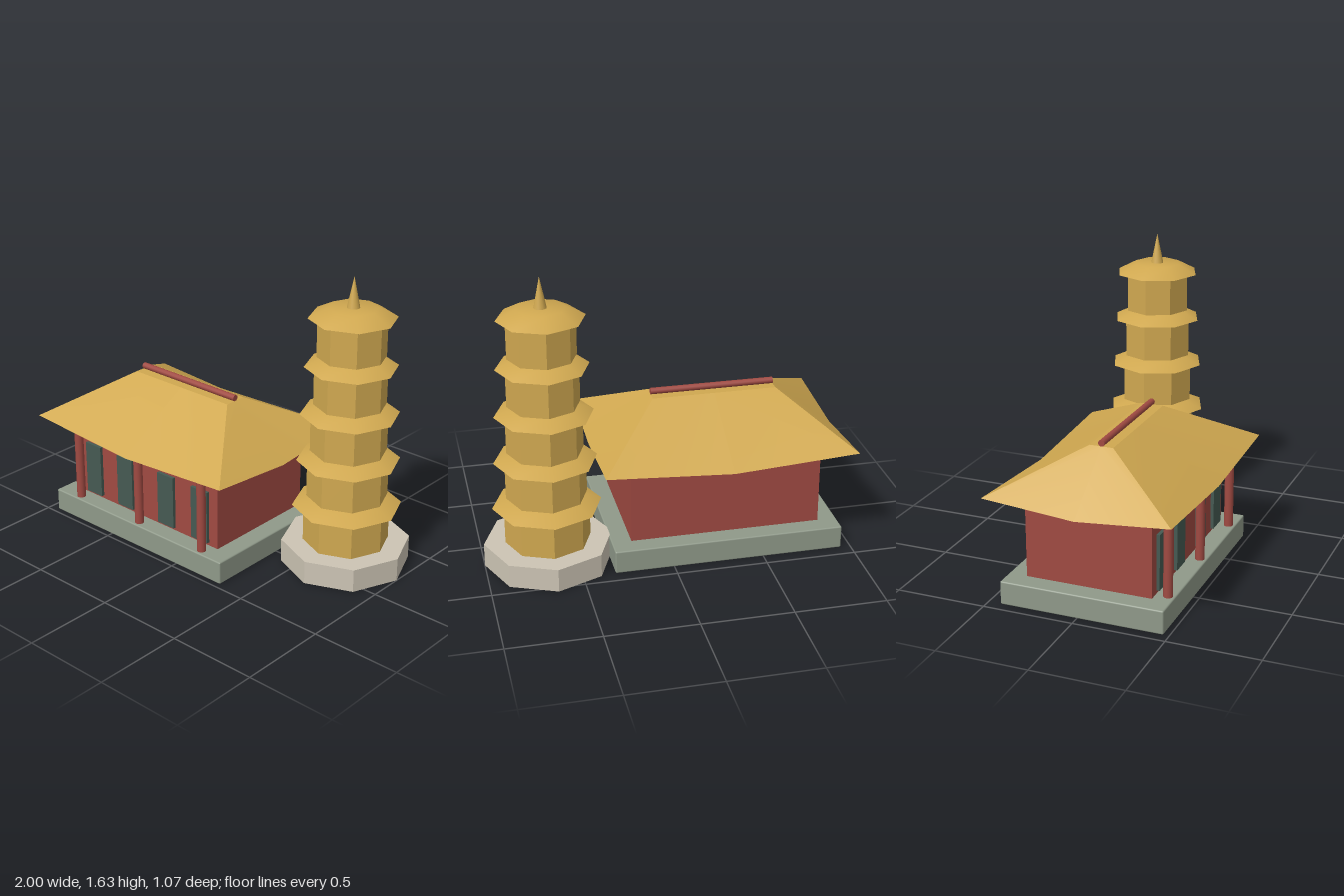
import * as THREE from 'three';
import { toCreasedNormals } from 'three/addons/utils/BufferGeometryUtils.js';
import { RoundedBoxGeometry } from 'three/addons/geometries/RoundedBoxGeometry.js';

const mat = (name, color, side = THREE.FrontSide) => {
  const m = new THREE.MeshStandardMaterial({ color, side });
  m.name = name;
  return m;
};

// Eight-sided frustum with corners on the x and z axes
const octagon = (rTop, rBottom, height, crease = 0.7) =>
  toCreasedNormals(new THREE.CylinderGeometry(rTop, rBottom, height, 8), crease);

// Ring of four corners and four edge midpoints, counter-clockwise seen from above
const ring = (hx, hz, yCorner, yMid) =>
  [[-1, 1], [0, 1], [1, 1], [1, 0], [1, -1], [0, -1], [-1, -1], [-1, 0]]
    .map(([x, z]) => [x * hx, x && z ? yCorner : yMid, z * hz]);

// Open hipped roof: lifted eave corners, sloping sides and a narrow flat top
function hippedRoof() {
  const eave = ring(0.69, 0.51, 0.604, 0.56);
  const top = ring(0.345, 0.065, 0.832, 0.832);
  const points = [...eave, ...top, [0, 0.832, 0]];
  const index = [];
  for (let i = 0; i < 8; i++) {
    const j = (i + 1) % 8;
    // mirror the diagonal on alternate panels
    if (i % 2) index.push(i, j, i + 8, j, j + 8, i + 8);
    else index.push(i, j, j + 8, i, j + 8, i + 8);
    index.push(i + 8, j + 8, 16);
  }
  const g = new THREE.BufferGeometry();
  g.setAttribute('position', new THREE.Float32BufferAttribute(points.flat(), 3));
  g.setIndex(index);
  return toCreasedNormals(g, 0.4);
}

export function createModel() {
  const gold = mat('gold tile', 0xd0a850);
  const goldSheet = mat('gold roof sheet', 0xd0a850, THREE.DoubleSide);
  const red = mat('red lacquer', 0xa04a42);
  const greyStone = mat('grey green stone', 0x8f9989);
  const paleStone = mat('pale stone', 0xccc4b4);
  const darkGreen = mat('dark green panel', 0x455a52);

  const add = (parent, name, geometry, material, x, y, z) => {
    const mesh = new THREE.Mesh(geometry, material);
    mesh.name = name;
    mesh.position.set(x, y, z);
    parent.add(mesh);
    return mesh;
  };

  const model = new THREE.Group();
  model.name = 'templeCompound';

  // Hall
  const hall = new THREE.Group();
  hall.name = 'hall';
  hall.position.set(-0.31, 0, 0.02);
  model.add(hall);
  add(hall, 'platform', new RoundedBoxGeometry(1.27, 0.13, 0.9, 2, 0.008), greyStone, 0, 0.065, 0);
  add(hall, 'walls', new THREE.BoxGeometry(1.054, 0.425, 0.694), red, 0, 0.3425, 0);
  for (const x of [-0.408, -0.158, 0.158, 0.408])
    add(hall, 'doorPanel', new THREE.BoxGeometry(0.117, 0.306, 0.03), darkGreen, x, 0.302, 0.35);
  for (const x of [-0.47, 0, 0.47])
    add(hall, 'frontPillar', new THREE.CylinderGeometry(0.025, 0.025, 0.43, 16), red, x, 0.343, 0.412);
  add(hall, 'hippedRoof', hippedRoof(), goldSheet, 0, 0, 0);
  add(hall, 'ridgeBeam', new THREE.CylinderGeometry(0.018, 0.018, 0.69, 12), red, 0, 0.848, 0)
    .rotation.z = Math.PI / 2;

  // Pagoda tower
  const tower = new THREE.Group();
  tower.name = 'pagoda';
  tower.position.set(0.65, 0, -0.19);
  model.add(tower);
  add(tower, 'towerBase', octagon(0.35, 0.35, 0.13), paleStone, 0, 0.065, 0);
  const bodyR = [0.233, 0.219, 0.206, 0.194, 0.183];
  const eaveR = [0.296, 0.278, 0.265, 0.248, 0.234];
  const step = 0.267, roofHeight = 0.055;
  bodyR.forEach((r, i) => {
    const bottom = 0.13 + i * step;
    const height = step - roofHeight;
    const eaveY = bottom + height;
    add(tower, 'storey', octagon(r, r, height), gold, 0, bottom + height / 2, 0);
    add(tower, 'storeyRoof', octagon(eaveR[i] * 0.56, eaveR[i], roofHeight), gold, 0, eaveY + roofHeight / 2, 0);
  });
  add(tower, 'spire', new THREE.ConeGeometry(0.035, 0.17, 16), gold, 0, 1.547, 0);

  return model;
}
